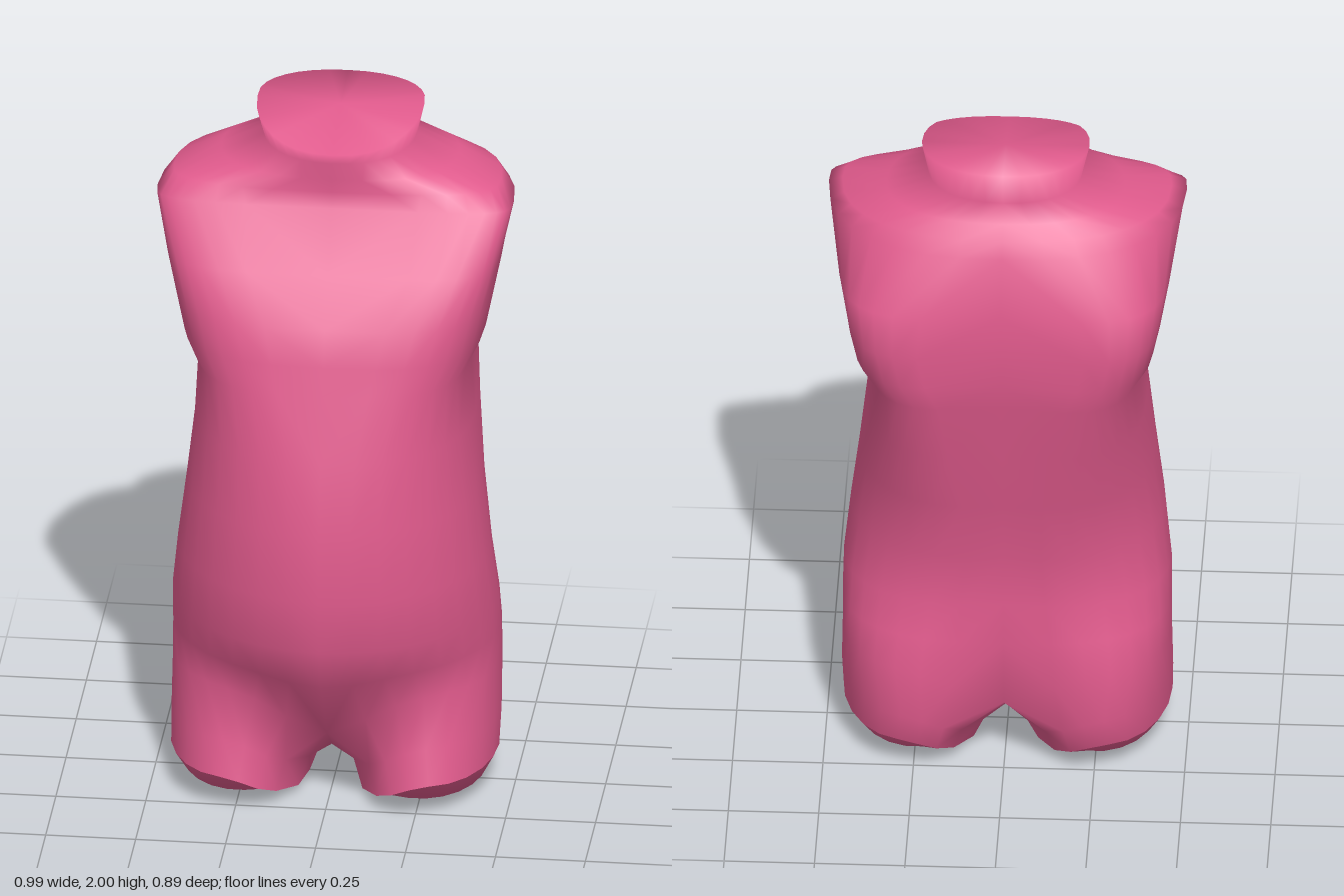
import * as THREE from 'three';
import { mergeVertices } from 'three/addons/utils/BufferGeometryUtils.js';

const N = 16; // segments around half the body

// Half cross-section, from the front centre round the +x side to the back centre.
// y, half width, front z, back z, z of widest point, front/back squareness,
// front/back groove depth on the centre line, drop of the centre line
function section([y, w, zf, zb, zc, ef, eb, gf = 0, gb = 0, drop = 0]) {
  const ring = [];
  for (let i = 0; i <= N; i++) {
    const a = (Math.PI * i) / N, front = i <= N / 2;
    const e = 2 / (front ? ef : eb);
    const x = i % N === 0 ? 0 : w * Math.pow(Math.sin(a), e);
    const c = i === N / 2 ? 0 : Math.pow(Math.abs(Math.cos(a)), e);
    const mid = Math.exp(-((x / 0.15) ** 2));
    const z = front ? zc + (zf - zc) * c - gf * mid : zc + (zb - zc) * c + gb * mid;
    ring.push([x, y - drop * mid, z]);
  }
  return ring;
}

// Full ring of one leg, in step with the half section plus three crotch points
function legRing(cx, rx, cz, rz, height) {
  const ring = [];
  for (let i = 0; i < N + 4; i++) {
    const a = i <= N ? -0.7 + ((Math.PI + 1.4) * i) / N
      : Math.PI + 0.7 + ((Math.PI - 1.4) * (i - N)) / 4;
    ring.push([cx + rx * Math.sin(a), height(Math.sin(a)), cz + rz * Math.cos(a)]);
  }
  return ring;
}

// Skin between a lower and an upper ring
function strip(tris, low, high, closed) {
  const n = low.length;
  for (let i = 0; i < (closed ? n : n - 1); i++) {
    const j = (i + 1) % n;
    tris.push([low[i], low[j], high[j]], [low[i], high[j], high[i]]);
  }
}

// Add the mirrored half, weld and smooth
function mirrored(tris) {
  const pos = [];
  const flip = ([x, y, z]) => [-x, y, z];
  for (const [a, b, c] of tris) {
    pos.push(...a, ...b, ...c, ...flip(a), ...flip(c), ...flip(b));
  }
  let g = new THREE.BufferGeometry();
  g.setAttribute('position', new THREE.Float32BufferAttribute(pos, 3));
  g = mergeVertices(g, 1e-4);
  g.computeVertexNormals();
  return g;
}

export function createModel() {
  const group = new THREE.Group();
  const pink = new THREE.MeshStandardMaterial({ color: 0xe05a8c });
  const add = (name, tris) => {
    const mesh = new THREE.Mesh(mirrored(tris), pink);
    mesh.name = name;
    group.add(mesh);
  };

  // Torso sections from hips to neck
  const rings = [
    [0.36, 0.455, 0.30, -0.345, -0.03, 2.3, 2.8, 0.08, 0.09, 0.14],
    [0.46, 0.455, 0.375, -0.33, -0.03, 2.0, 2.6, 0.00, 0.05, 0.03],
    [0.56, 0.453, 0.425, -0.305, 0.00, 1.95, 2.4, 0, 0.03],
    [0.72, 0.435, 0.44, -0.31, 0.03, 2.0, 2.3, 0, 0.02],
    [0.92, 0.41, 0.43, -0.355, 0.02, 2.1, 2.5, 0, 0.02],
    [1.12, 0.388, 0.39, -0.40, 0.00, 2.3, 3.4, 0, 0.025],
    [1.30, 0.375, 0.335, -0.438, 0.00, 3.0, 4.3, 0, 0.03],
    [1.38, 0.415, 0.315, -0.452, -0.02, 3.1, 4.8, 0, 0.03],
    [1.48, 0.435, 0.285, -0.453, -0.02, 3.4, 5.2, 0, 0.03],
    [1.61, 0.46, 0.205, -0.45, -0.01, 4.6, 4.5, 0, 0.025],
    [1.77, 0.495, 0.105, -0.385, 0.00, 4.5, 2.3, 0, 0.01],
    [1.815, 0.455, 0.095, -0.355, -0.05, 3.2, 2.3],
    [1.855, 0.33, 0.10, -0.325, -0.12, 2.4, 2.3],
    [1.905, 0.212, 0.10, -0.295, -0.13, 2.2, 2.2],
    [1.97, 0.232, 0.10, -0.305, -0.13, 2.3, 2.2],
  ].map(section);

  // Slanted rim of the neck
  const rim = rings[rings.length - 1];
  for (const p of rim) p[1] = Math.min(2, 1.97 - (p[2] > 0 ? 0.4 : 0.18) * p[2]);

  const skin = [];
  for (let i = 0; i < rings.length - 1; i++) strip(skin, rings[i], rings[i + 1], false);

  // Closed top of the neck, blended into its sides
  for (let i = 0; i < N; i++) skin.push([[0, 1.985, -0.12], rim[i], rim[i + 1]]);

  // Thigh stumps, joined through the crotch line
  const hip = [...rings[0], [0, 0.14, -0.14], [0, 0.12, -0.02], [0, 0.13, 0.1]];
  const inner = (s) => Math.max(0, -s);
  const thigh = legRing(0.25, 0.208, -0.022, 0.304, (s) => 0.21 - 0.13 * inner(s));
  const cuff = legRing(0.263, 0.192, 0.008, 0.298, (s) => 0.11 - 0.105 * inner(s));
  strip(skin, thigh, hip, true);
  strip(skin, cuff, thigh, true);
  add('torso', skin);

  // Closed undersides of the thighs
  const sole = legRing(0.25, 0.17, 0.01, 0.23, (s) => 0.042 - 0.042 * inner(s) ** 3);
  const under = [];
  strip(under, sole, cuff, true);
  sole.forEach((p, i) => under.push([[0.25, 0.04, 0.01], sole[(i + 1) % sole.length], p]));
  add('thighEnds', under);

  return group;
}
